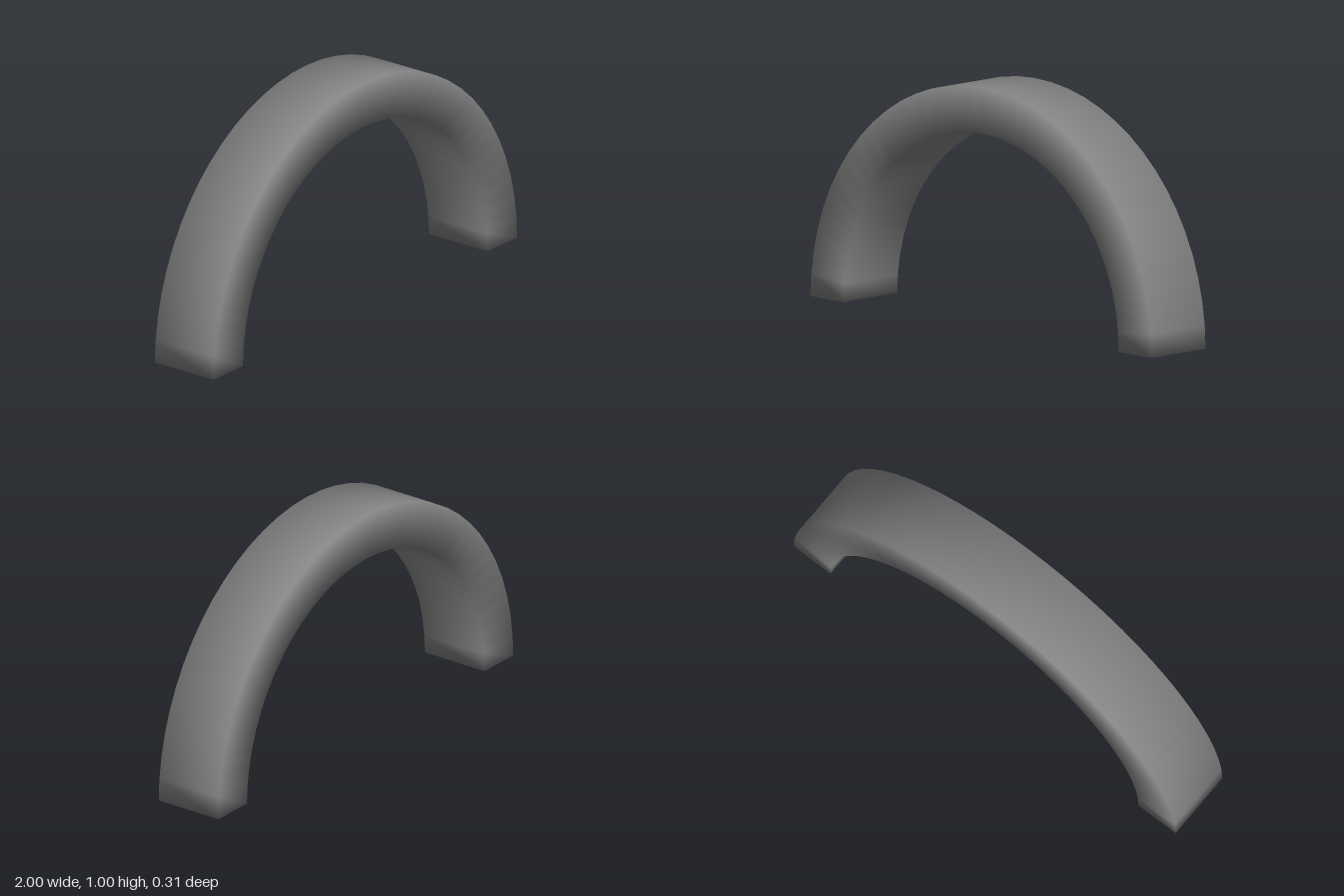
import * as THREE from 'three';
import { mergeVertices } from 'three/addons/utils/BufferGeometryUtils.js';

const OUTER = 1, INNER = 0.806, DEPTH = 0.306, HEIGHT = 0.996;
const SEGMENTS = 32;

// Straight bar bent into a half ring: x becomes the angle, y the radius
function bentBar() {
  const bar = new THREE.BoxGeometry(1, 1, DEPTH, SEGMENTS, 1, 1);
  const pos = bar.attributes.position;
  for (let i = 0; i < pos.count; i++) {
    const angle = Math.PI * (0.5 - pos.getX(i));
    const radius = THREE.MathUtils.lerp(INNER, OUTER, pos.getY(i) + 0.5);
    pos.setXY(i, radius * Math.cos(angle), radius * HEIGHT * Math.sin(angle));
  }
  // Shared corners give one continuous, softly shaded surface
  bar.deleteAttribute('normal');
  bar.deleteAttribute('uv');
  const smooth = mergeVertices(bar, 1e-4);
  smooth.computeVertexNormals();
  return smooth;
}

export function createModel() {
  const group = new THREE.Group();
  group.name = 'archModel';

  const arch = new THREE.Mesh(bentBar(), new THREE.MeshStandardMaterial({ color: 0x848484 }));
  arch.name = 'arch';
  group.add(arch);
  return group;
}
